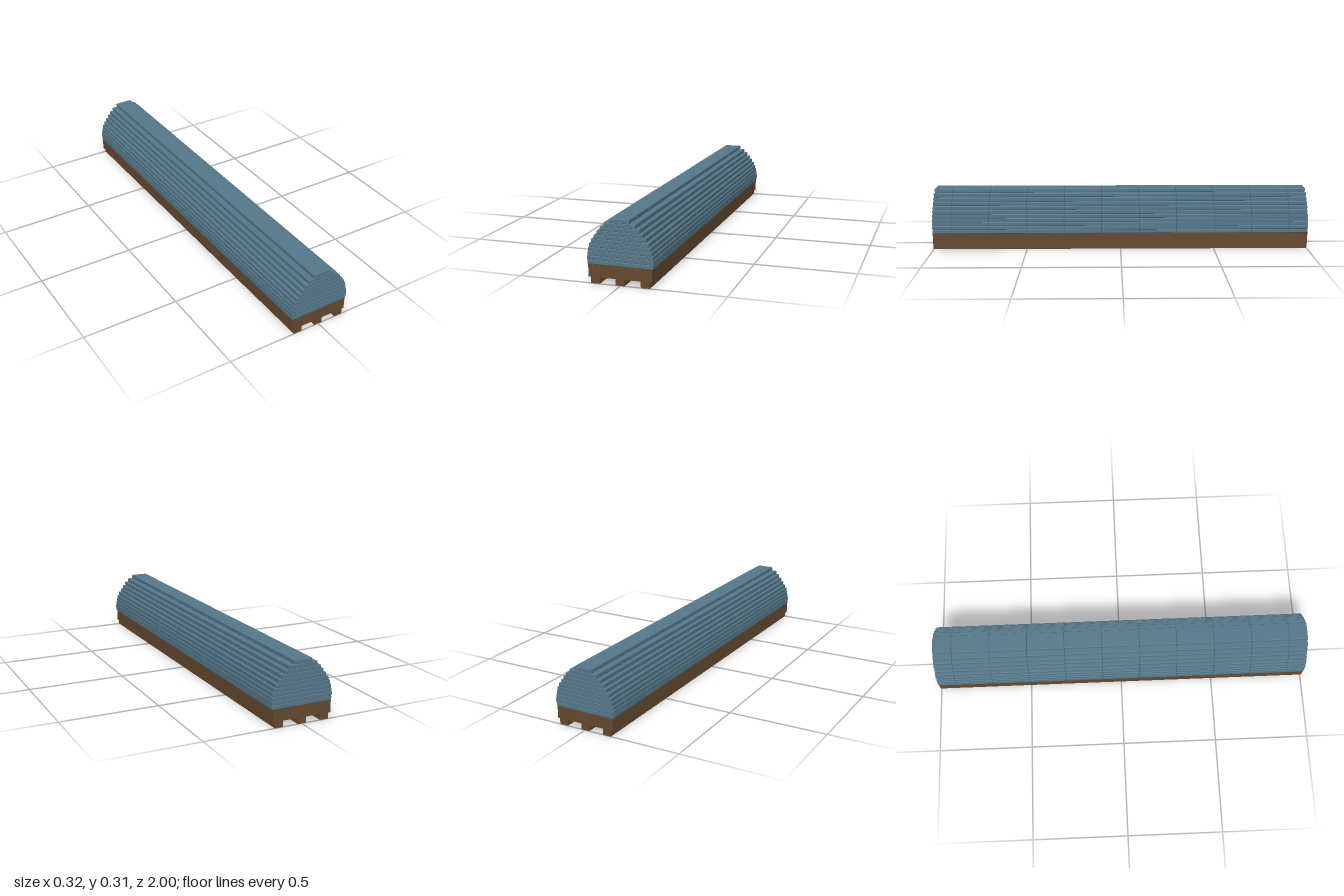
import * as THREE from 'three';
import { RoundedBoxGeometry } from 'three/addons/geometries/RoundedBoxGeometry.js';

const LENGTH = 2;
const COURSE_HEIGHT = 0.02;
const BASE_TOP = 0.09;
const BEVEL = 0.003;
// Half width of each course, from the bottom up
const HALF_WIDTHS = [0.158, 0.16, 0.158, 0.154, 0.148, 0.139, 0.125, 0.111, 0.095, 0.076, 0.047];

export function createModel() {
  const model = new THREE.Group();
  model.name = 'stackedPile';
  const slate = new THREE.MeshStandardMaterial({ color: 0x55788a });
  const timber = new THREE.MeshStandardMaterial({ color: 0x664a30 });

  function add(parent, name, geometry, material, x, y, z) {
    const mesh = new THREE.Mesh(geometry, material);
    mesh.name = name;
    mesh.position.set(x, y, z);
    parent.add(mesh);
  }

  // Timber platform on three full-length runners
  const base = new THREE.Group();
  base.name = 'base';
  model.add(base);
  add(base, 'platform', new THREE.BoxGeometry(0.307, 0.06, LENGTH), timber, -0.001, 0.06, 0);
  for (const x of [-0.121, -0.001, 0.12]) {
    add(base, 'runner', new THREE.BoxGeometry(0.043, 0.03, LENGTH), timber, x, 0.015, 0);
  }

  // Slab joints: whole slabs of 0.2 with a half slab at each end
  const joints = [-1];
  for (let i = 0; i < 10; i++) joints.push(-0.9 + i * 0.2);
  joints.push(1);

  // Stepped courses of bevelled slabs
  HALF_WIDTHS.forEach((half, row) => {
    const course = new THREE.Group();
    course.name = 'course' + (row + 1);
    course.position.y = BASE_TOP + COURSE_HEIGHT * (row + 0.5);
    model.add(course);
    for (let i = 0; i < joints.length - 1; i++) {
      const depth = joints[i + 1] - joints[i];
      const slab = new RoundedBoxGeometry(half * 2, COURSE_HEIGHT, depth, 1, BEVEL);
      add(course, 'slab', slab, slate, 0, 0, (joints[i] + joints[i + 1]) / 2);
    }
  });

  return model;
}
